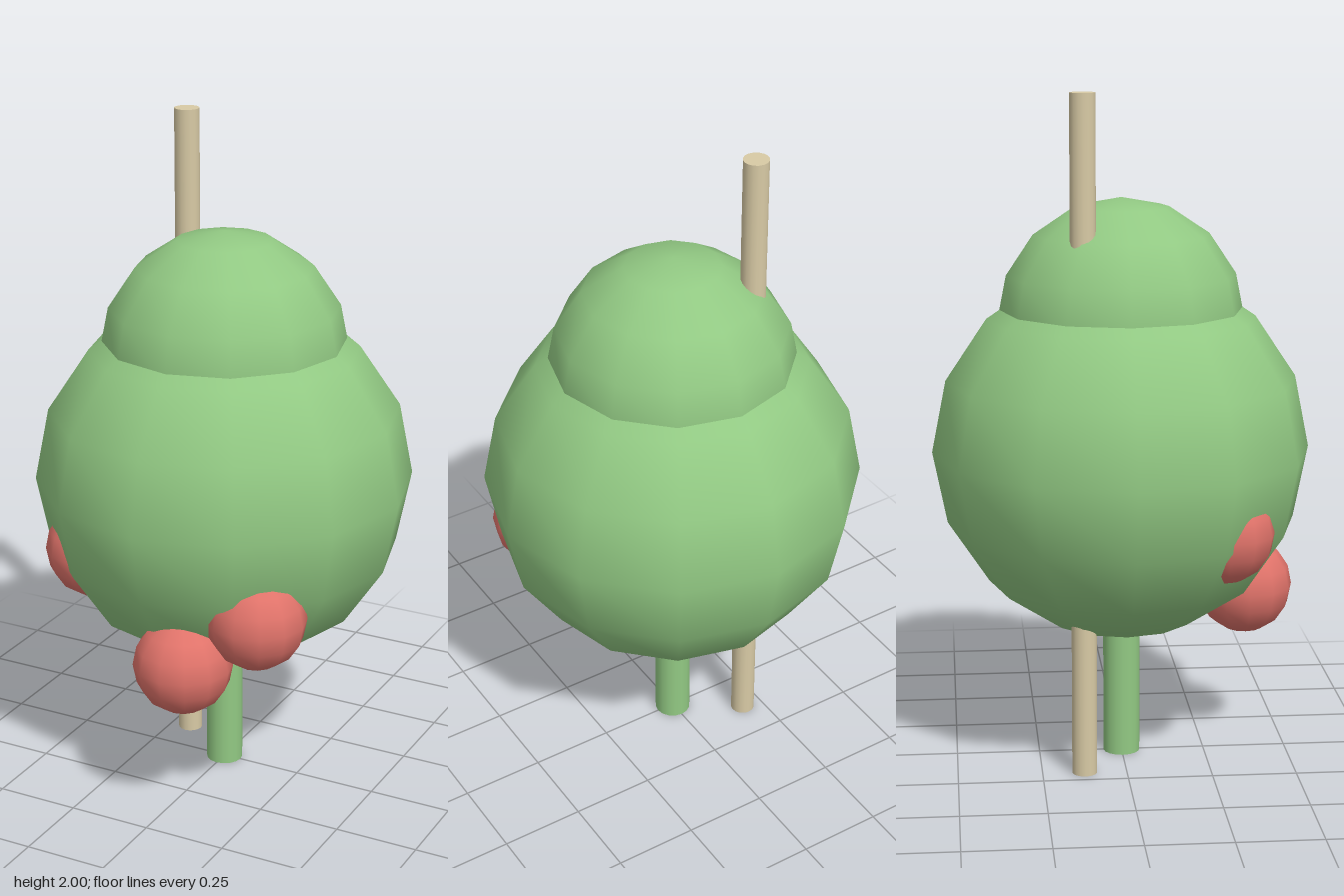
import * as THREE from 'three';

const mat = (name, color) => {
  const m = new THREE.MeshStandardMaterial({ color });
  m.name = name;
  return m;
};

export function createModel() {
  const green = mat('leaf green', 0x92c983);
  const red = mat('berry red', 0xe0736a);
  const tan = mat('stake tan', 0xd8caa5);
  const model = new THREE.Group();
  model.name = 'stakedBush';

  const add = (name, geometry, material, x, y, z) => {
    const mesh = new THREE.Mesh(geometry, material);
    mesh.name = name;
    mesh.position.set(x, y, z);
    model.add(mesh);
  };
  const ball = (r) => new THREE.SphereGeometry(r, 12, 8);

  // Foliage: large body with a smaller crown sunk into it
  add('foliageBody', ball(0.56), green, 0, 0.94, 0);
  add('foliageCrown', ball(0.365), green, 0, 1.323, 0);

  // Stem and the support stake running through the foliage
  add('stem', new THREE.CylinderGeometry(0.055, 0.055, 0.6, 16), green, 0, 0.3, 0);
  add('stake', new THREE.CylinderGeometry(0.037, 0.037, 2, 16), tan, -0.188, 1, -0.125);

  // Fruits half buried in the lower front
  const fruits = [[0.062, 0.497, 0.38], [0.275, 0.665, 0.335], [-0.289, 0.753, 0.273]];
  fruits.forEach(([x, y, z], i) => add('fruit' + (i + 1), ball(0.146), red, x, y, z));

  return model;
}
